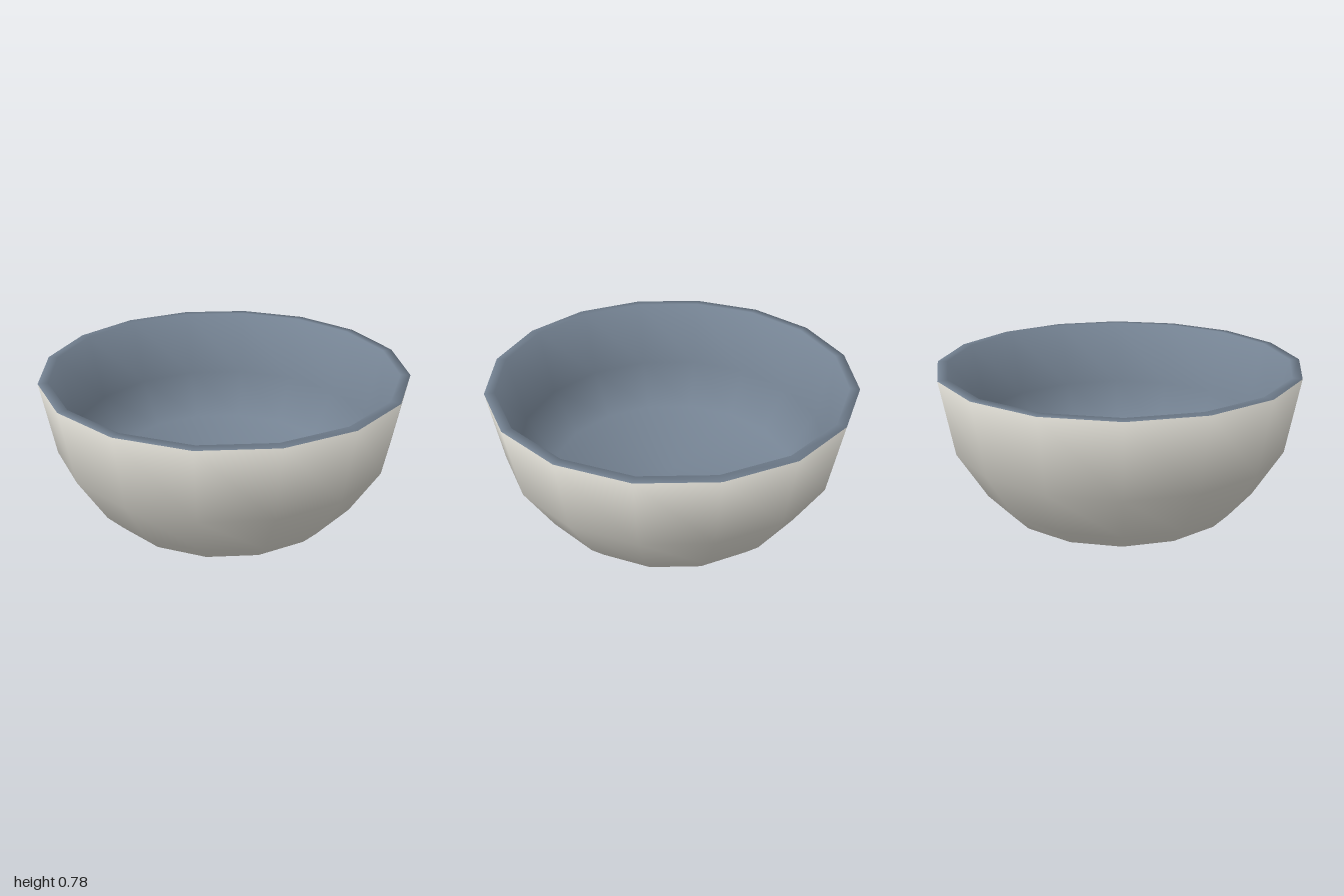
import * as THREE from 'three';

const SIDES = 16;

// Section of the bowl as [radius, height]: up the outside, over the rim, down to the floor
const OUTSIDE = [[0.69, 0], [0.78, 0.1], [0.935, 0.37], [1, 0.78]];
const INSIDE = [[0.947, 0.78], [0.865, 0.4], [0.715, 0.143], [0, 0.143]];
const SECTION = [...OUTSIDE, ...INSIDE].map(([r, y]) => new THREE.Vector2(r, y));

// Smooth section normals: each point takes the mean direction of its two neighbouring edges
const edgeNormals = SECTION.slice(1).map((p, i) => {
  const d = p.clone().sub(SECTION[i]).normalize();
  return new THREE.Vector2(d.y, -d.x);
});
const NORMALS = SECTION.map((p, i) => {
  const before = edgeNormals[Math.max(i - 1, 0)];
  const after = edgeNormals[Math.min(i, edgeNormals.length - 1)];
  return before.clone().add(after).normalize();
});

// Turns part of the section, so shading stays continuous where two parts meet at the rim
function turnSection(name, from, to, material) {
  const count = to - from + 1;
  const geometry = new THREE.LatheGeometry(SECTION.slice(from, to + 1), SIDES);
  const normal = geometry.attributes.normal;
  for (let k = 0; k < normal.count; k++) {
    const angle = (Math.floor(k / count) / SIDES) * Math.PI * 2;
    const n = NORMALS[from + (k % count)];
    normal.setXYZ(k, n.x * Math.sin(angle), n.y, n.x * Math.cos(angle));
  }
  const mesh = new THREE.Mesh(geometry, material);
  mesh.name = name;
  return mesh;
}

export function createModel() {
  const glaze = new THREE.MeshStandardMaterial({ name: 'paleStoneware', color: 0xd0cec6, side: THREE.DoubleSide });
  const lining = new THREE.MeshStandardMaterial({ name: 'slateBlueGlaze', color: 0x748292, side: THREE.DoubleSide });

  const bowl = new THREE.Group();
  bowl.name = 'bowl';
  const rim = OUTSIDE.length - 1;

  // Outer wall, open underneath like a hollow foot
  bowl.add(turnSection('outerWall', 0, rim, glaze));

  // Rim, inner wall and raised floor
  bowl.add(turnSection('innerLining', rim, SECTION.length - 1, lining));

  return bowl;
}
